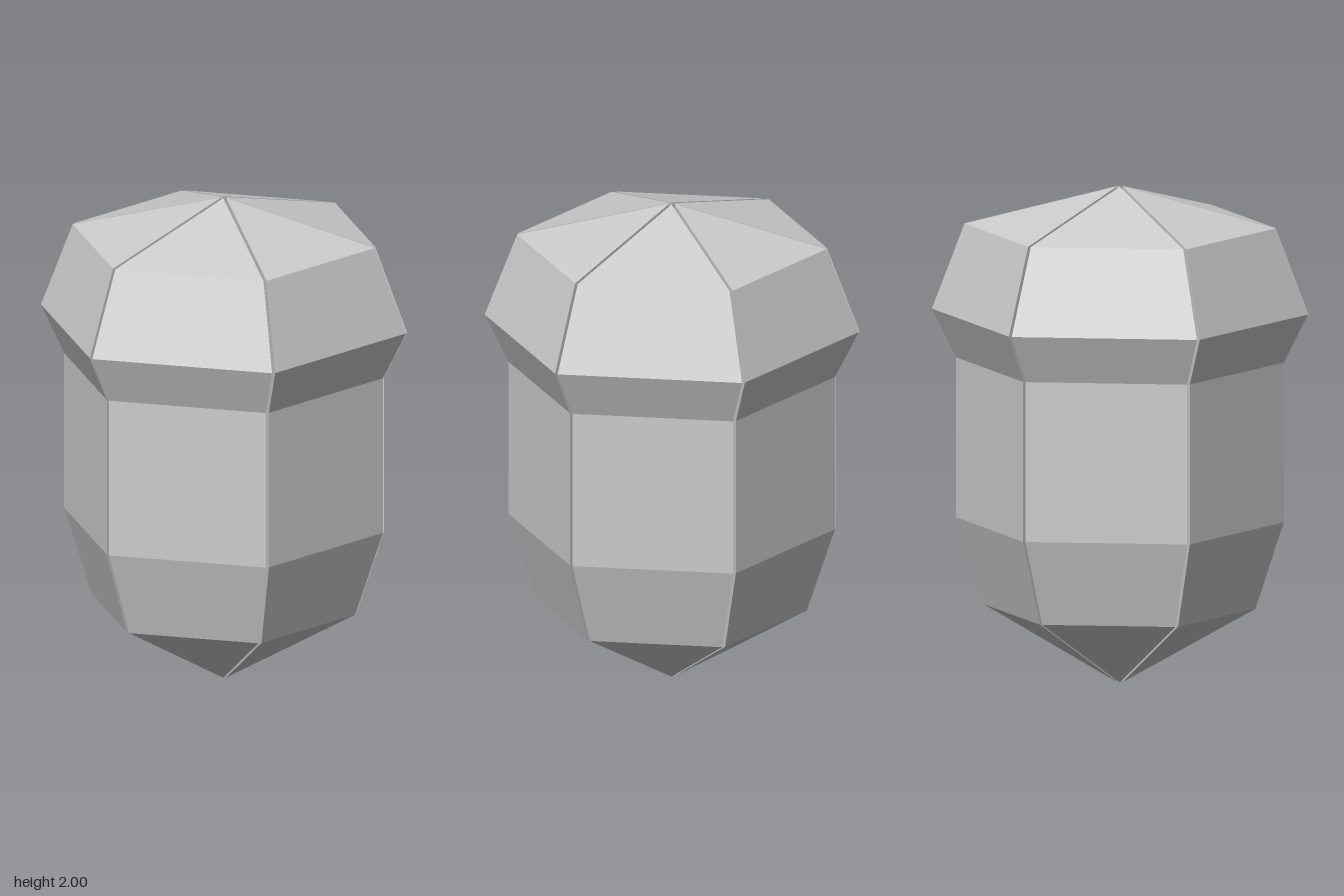
import * as THREE from 'three';
import { mergeGeometries } from 'three/addons/utils/BufferGeometryUtils.js';

const SIDES = 6;
const GAP = 0.013; // each wedge is pushed outward by this much, opening the seams

// [distance from axis to flat face, height], bottom tip to top tip
const PROFILE = [
  [0, 0], [0.46, 0.305], [0.558, 0.655], [0.558, 1.3],
  [0.641, 1.495], [0.528, 1.84], [0, 2],
];

// Closed wedge: faceted outer face plus a flat wall on each seam
function wedgeGeometry(step) {
  const toCorner = 1 / Math.cos(step / 2);
  const points = PROFILE.map(([r, y]) => new THREE.Vector2(r * toCorner, y));
  const outer = new THREE.LatheGeometry(points, 1, -step / 2, step);
  const walls = [-1, 1].map((side) => {
    const outline = points.map((p) => new THREE.Vector2(-side * p.x, p.y));
    const wall = new THREE.ShapeGeometry(new THREE.Shape(outline));
    return wall.rotateY(side * (step / 2 + Math.PI / 2));
  });
  return mergeGeometries([outer, ...walls]).translate(0, 0, GAP);
}

export function createModel() {
  const model = new THREE.Group();
  model.name = 'acorn';
  const material = new THREE.MeshStandardMaterial({ color: 0xcccccc, flatShading: true });

  // Six equal wedges around the axis, separated by narrow seams
  const step = (Math.PI * 2) / SIDES;
  const geometry = wedgeGeometry(step);
  for (let i = 0; i < SIDES; i++) {
    const wedge = new THREE.Mesh(geometry, material);
    wedge.name = `wedge${i + 1}`;
    wedge.rotation.y = (i + 0.5) * step;
    model.add(wedge);
  }
  return model;
}
